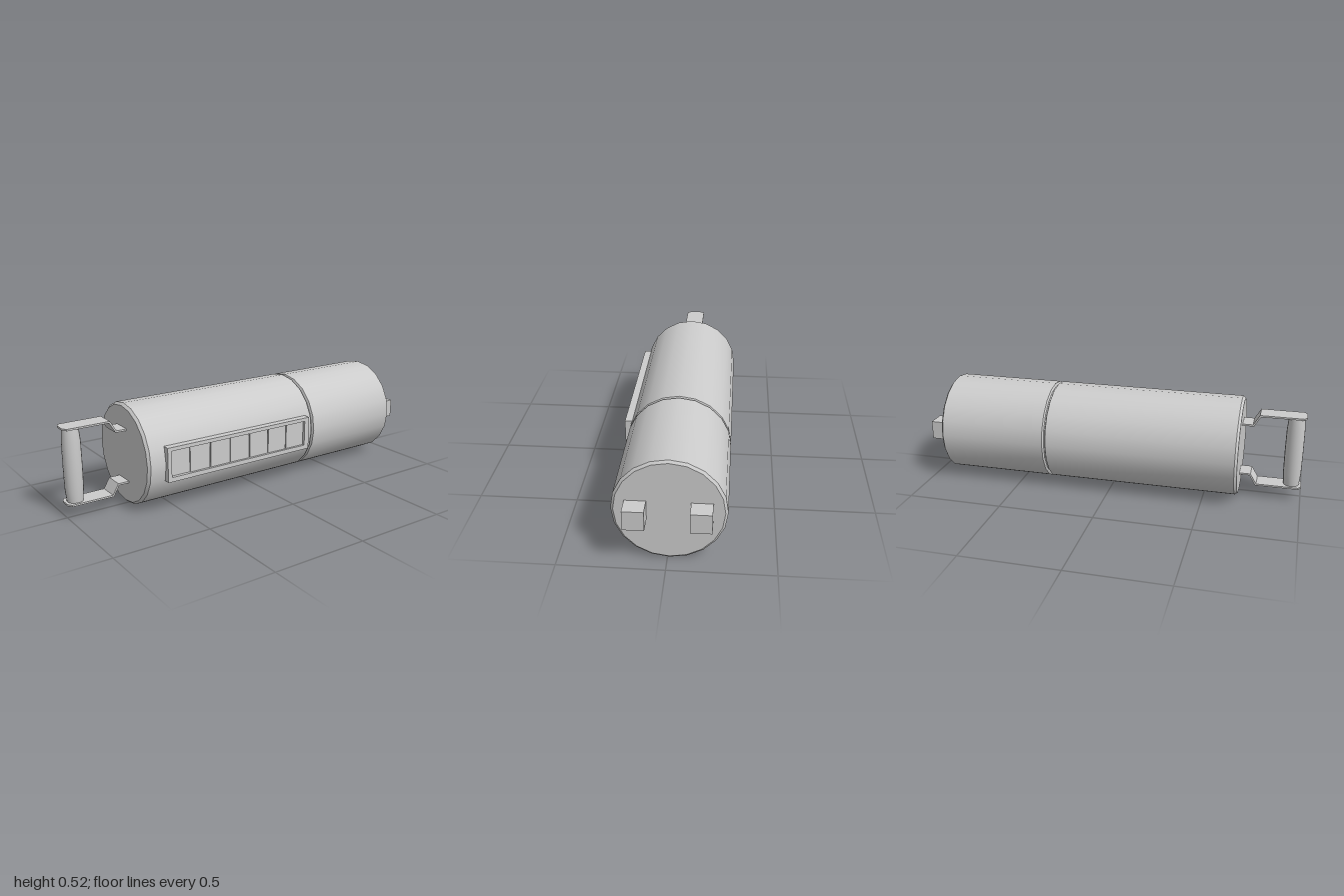
import * as THREE from 'three';
import { toCreasedNormals } from 'three/addons/utils/BufferGeometryUtils.js';

const CY = 0.263, CZ = -0.01;

export function createModel() {
  const model = new THREE.Group();
  const material = new THREE.MeshStandardMaterial({ color: 0xcccccc });

  const add = (name, geometry, x = 0, y = 0, z = 0) => {
    const mesh = new THREE.Mesh(geometry, material);
    mesh.name = name;
    mesh.position.set(x, y, z);
    model.add(mesh);
    return mesh;
  };
  const polygon = (points) => new THREE.Shape(points.map(([x, y]) => new THREE.Vector2(x, y)));
  const rect = (x0, y0, x1, y1) => polygon([[x0, y0], [x1, y0], [x1, y1], [x0, y1]]);
  const extrude = (shape, depth) => new THREE.ExtrudeGeometry(shape, { depth, bevelEnabled: false });
  // Turned part, profile given as [radius, position]
  const turn = (profile, sides) => toCreasedNormals(
    new THREE.LatheGeometry(profile.map(([r, p]) => new THREE.Vector2(r, p)), sides), 0.5);

  // Canister with chamfered ends and a groove between its two sections
  const body = turn([
    [0, -0.68], [0.25, -0.68], [0.262, -0.667],
    [0.262, 0.322], [0.25, 0.328], [0.25, 0.334], [0.262, 0.34],
    [0.262, 0.905], [0.25, 0.915], [0, 0.915],
  ], 20);
  body.rotateZ(-Math.PI / 2);
  add('canisterBody', body, 0, CY, CZ);

  // Raised frame on the front with a recessed window
  const frame = rect(-0.586, 0.177, 0.286, 0.353);
  frame.holes.push(rect(-0.565, 0.2, 0.257, 0.334));
  add('panelFrame', extrude(frame, 0.052), 0, 0, 0.22);
  add('panelFloor', new THREE.BoxGeometry(0.84, 0.15, 0.034), -0.154, 0.267, 0.237);

  // Row of indicator tiles, the first place left open
  const pitch = 0.119;
  for (let i = 1; i < 7; i++) {
    add('indicatorTile' + i, new THREE.BoxGeometry(pitch - 0.005, 0.132, 0.02),
      -0.517 + i * pitch, 0.267, 0.251);
  }

  // Two square lugs on the end cap
  for (const z of [0.14, -0.157]) {
    add('endLug', new THREE.BoxGeometry(0.1, 0.098, 0.098), 0.95, 0.264, z);
  }

  // Handle: mirrored cranked straps, each with a corner-cut plate
  const handleZ = -0.015, half = 0.052, t = 0.009;
  for (const s of [1, -1]) {
    const plate = extrude(polygon([
      [-0.985, -half], [-0.765, -half], [-0.765, half], [-0.985, half], [-1, 0.028], [-1, -0.028],
    ]), t);
    plate.rotateX(-Math.PI / 2);
    add('handlePlate', plate, 0, s > 0 ? CY + 0.196 - t : CY - 0.196, handleZ);

    const outline = [
      [-0.765, 0.196], [-0.733, 0.142], [-0.67, 0.142],
      [-0.67, 0.133], [-0.738, 0.133], [-0.77, 0.187], [-0.77, 0.196],
    ].map(([x, y]) => [x, CY + s * y]);
    add('handleStrap', extrude(polygon(outline), half * 2), 0, 0, handleZ - half);
  }

  // Slightly barrelled grip bar
  const grip = turn([
    [0, -0.188], [0.04, -0.188], [0.046, -0.12], [0.047, 0], [0.046, 0.12], [0.04, 0.188], [0, 0.188],
  ], 20);
  add('handleGrip', grip, -0.948, CY, handleZ);

  return model;
}
